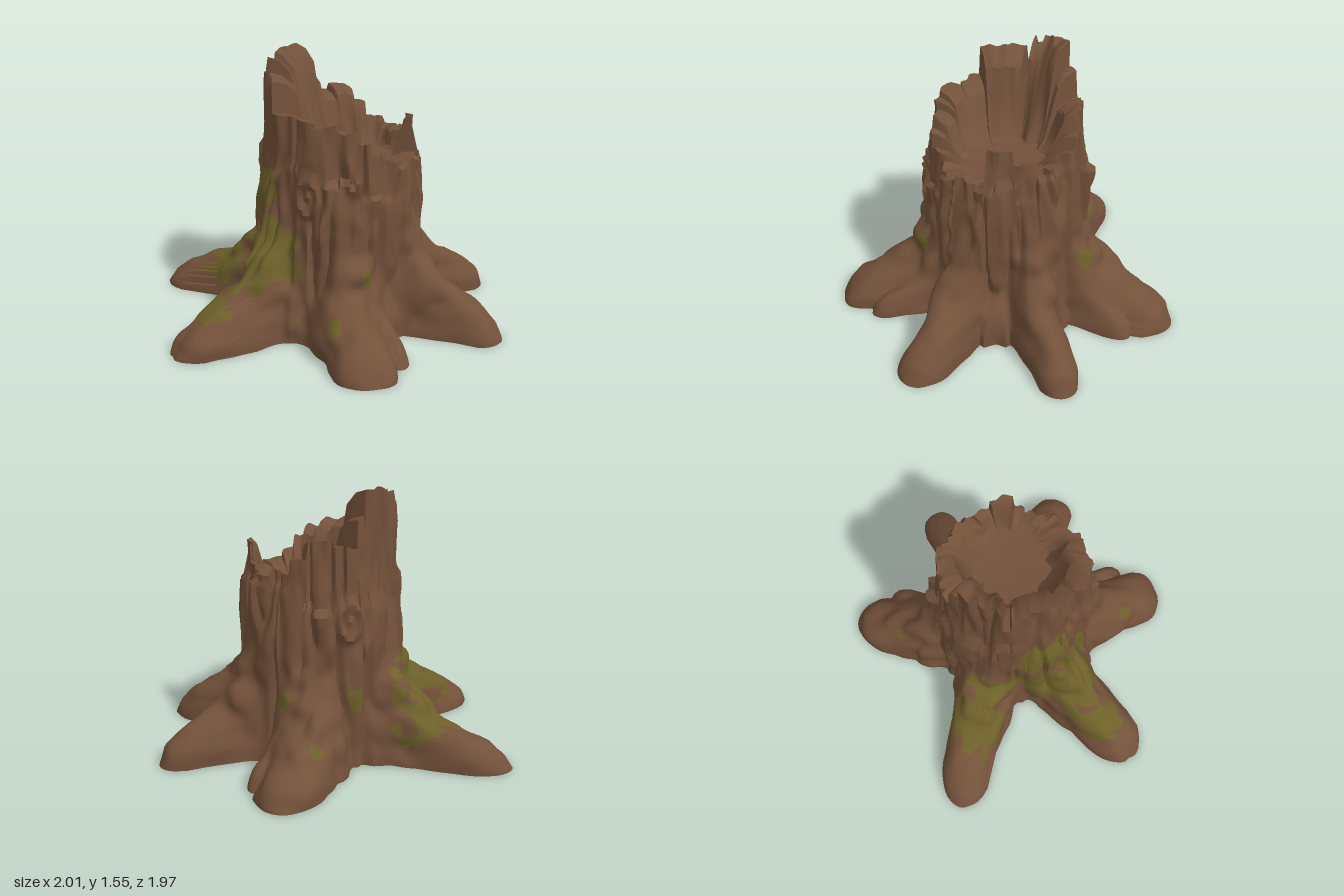
import * as THREE from 'three';
import { toCreasedNormals } from 'three/addons/utils/BufferGeometryUtils.js';

const COLS = 300, LOW = 38, HIGH = 15, CX = 0.08, RAD = Math.PI / 180;
const { lerp, clamp, smoothstep } = THREE.MathUtils;

// Seeded value noise, 0..1
const hash = (x, y, z) => {
  const s = Math.sin(x * 127.1 + y * 311.7 + z * 74.7) * 43758.5453;
  return s - Math.floor(s);
};
function noise(x, y, z) {
  const i = Math.floor(x), j = Math.floor(y), k = Math.floor(z);
  const ease = (t) => t * t * (3 - 2 * t);
  const u = ease(x - i), v = ease(y - j), w = ease(z - k);
  const h = (a, b, d) => hash(i + a, j + b, k + d);
  const face = (d) => lerp(lerp(h(0, 0, d), h(1, 0, d), u), lerp(h(0, 1, d), h(1, 1, d), u), v);
  return lerp(face(0), face(1), w);
}
// Straight-line lookup in a list of [position, value]
function profile(list, t) {
  for (let i = 1; i < list.length; i++) {
    const [a, va] = list[i - 1], [b, vb] = list[i];
    if (t <= b) return lerp(va, vb, clamp((t - a) / (b - a), 0, 1));
  }
  return list[list.length - 1][1];
}

// Broken rim: [start angle, height] of each splinter, angle 90 is the front
const SPLINTERS = [[-12, 1.2], [8, 1.0], [38, 1.02], [55, 1.06], [66, 1.14], [78, 1.2], [92, 1.24],
  [108, 1.27], [128, 1.28], [150, 1.45], [188, 1.33], [194, 1.5], [203, 1.54], [232, 1.4],
  [241, 1.25], [260, 1.29], [279, 1.2], [292, 1.12], [310, 1.08], [333, 1.11]];
function rimHeight(deg) {
  const a = deg >= 348 ? deg - 360 : deg;
  let h = 1.2;
  for (const [start, value] of SPLINTERS) if (a >= start) h = value;
  return h + 0.03 * (noise(a * 0.14, 3, 1) - 0.5);
}

// Roots: direction, length, half width, height scale, sideways bend
const ROOTS = [[79, 1.0, 0.17, 1, -0.035], [65, 0.83, 0.075, 0.7, 0], [24, 1.0, 0.14, 1.05, 0],
  [-26, 1.0, 0.125, 1.05, 0], [-79, 1.0, 0.17, 1, 0.035], [-65, 0.83, 0.075, 0.7, 0],
  [202.7, 1.17, 0.15, 0.87, -0.045], [143.8, 1.11, 0.165, 0.95, 0]];
const ROOT_HEIGHT = [[0, 1.2], [0.3, 0.85], [0.45, 0.57], [0.6, 0.35], [0.75, 0.235], [0.88, 0.165], [0.95, 0.1], [1, 0]];
const TRUNK = [[0, 0.49], [0.2, 0.47], [0.5, 0.455], [0.8, 0.44], [1.1, 0.415], [1.6, 0.405]];

function rootRadius([dir, len, width, high, bend], angle, y) {
  const d = angle - dir * RAD, cd = Math.cos(d), sd = Math.sin(d);
  if (cd < 0.4) return 0;
  const inside = (r) => {
    const u = (r * cd) / len;
    if (u >= 1) return false;
    const tip = u > 0.84 ? Math.sqrt(1 - ((u - 0.84) / 0.16) ** 2) : 1;
    const w = width * lerp(1.25, 1, smoothstep(u, 0.3, 0.8)) * tip;
    const side = (r * sd + bend * Math.sin(u * Math.PI)) / w;
    const q = side * side + (y / (high * profile(ROOT_HEIGHT, u))) ** 2;
    if (q > 1.6 || q < 0.5) return q < 1;
    // gnarled skin: long strands along the root and rounder lumps
    const strand = noise(r * 5 + dir, y * 11, r * sd * 11 + dir);
    const lump = noise(r * Math.cos(angle) * 9, y * 9, r * Math.sin(angle) * 9);
    return q < 1 + 0.4 * (strand - 0.5) + 0.45 * (lump - 0.5);
  };
  for (let r = 1.16; r > 0.3; r -= 0.02) {
    if (!inside(r)) continue;
    let lo = r, hi = r + 0.02;
    for (let k = 0; k < 5; k++) {
      const m = (lo + hi) / 2;
      if (inside(m)) lo = m; else hi = m;
    }
    return lo;
  }
  return 0;
}

// Outer radius of the whole stump at an angle and height
function barkRadius(angle, y) {
  const c = Math.cos(angle), s = Math.sin(angle), base = profile(TRUNK, y);
  let sum = base ** 12;
  for (const root of ROOTS) {
    const a = angle - root[0] * RAD > Math.PI ? angle - 2 * Math.PI : angle;
    sum += rootRadius(root, a, y) ** 12;
  }
  let r = sum ** (1 / 12);
  const knot = Math.abs(s) > 0.7 ? Math.hypot((CX + c * base + 0.08) / 0.75, (y - 0.85) / 1.2) : 1;
  const clear = smoothstep(knot, 0.09, 0.17);
  // loose bark plates that end in ledges, thickest in the middle of the front and back
  const deg = angle / RAD + 9 * (noise(c * 3, y * 4, s * 3) - 0.5);
  const plate = Math.floor((deg + 360) / 15) % 24;
  const thick = Math.abs(c) < 0.2 ? 0.055 : 0.03 * hash(plate, 9, 5);
  const end = Math.abs(c) < 0.2 ? 0.93 : 0.82 + 0.22 * hash(plate, 4, 2);
  if (y < end) r += thick * smoothstep(y, 0.5, 0.8) * clear;
  // upright ridges, narrow cracks and lumps, fading into the roots
  const fade = (1 - 0.6 * smoothstep(r, 0.55, 0.8)) * lerp(0.3, 1, clear);
  const ridge = Math.abs(2 * noise(c * 4.5 + 20, y * 1.7, s * 4.5 + 20) - 1);
  r += fade * 0.035 * (Math.min(ridge * 4, 1) - 0.85);
  r += fade * (0.045 * (noise(c * 5, y * 3 + 8, s * 5) - 0.5) + 0.025 * (noise(c * 9, y * 7, s * 9) - 0.5));
  // oval knots on the front and back
  return r + 0.035 * Math.exp(-(((knot - 0.075) / 0.025) ** 2)) + 0.03 * Math.exp(-((knot / 0.03) ** 2));
}

// Moss patches: x, y, z, radius
const MOSS = [[-0.3, 0.5, 0.36, 0.18], [-0.2, 0.42, 0.43, 0.08], [-0.48, 0.38, 0.33, 0.18], [-0.64, 0.2, 0.48, 0.14],
  [-0.36, 0.8, 0.15, 0.15], [-0.46, 0.42, 0.08, 0.19], [-0.55, 0.27, -0.3, 0.2], [-0.42, 0.42, -0.2, 0.12],
  [0.27, 0.41, 0.48, 0.055], [0.27, 0.41, -0.48, 0.055], [0.07, 0.22, 0.74, 0.045], [0.07, 0.22, -0.74, 0.045],
  [-0.13, 0.14, 0.5, 0.04], [-0.14, 0.4, -0.46, 0.07]];
function isMoss([x, y, z]) {
  const edge = 0.45 + 1.0 * noise(x * 14, y * 14, z * 14);
  return MOSS.some(([a, b, c, r]) => Math.hypot(x - a, y - b, z - c) < r * edge);
}

// Surface through closed rings, optionally sorted into two material groups
function skin(rings, test, crease) {
  const index = [[], []];
  for (let j = 0; j + 1 < rings.length; j++) {
    for (let i = 0; i < COLS; i++) {
      const k = (i + 1) % COLS, a = j * COLS + i, b = j * COLS + k;
      index[test && test(rings[j][i]) ? 1 : 0].push(a, a + COLS, b, b, a + COLS, b + COLS);
    }
  }
  const geometry = new THREE.BufferGeometry();
  geometry.setAttribute('position', new THREE.Float32BufferAttribute(rings.flat(2), 3));
  geometry.setIndex(index.flat());
  if (test) {
    geometry.addGroup(0, index[0].length, 0);
    geometry.addGroup(index[0].length, index[1].length, 1);
  }
  return toCreasedNormals(geometry, crease);
}

export function createModel() {
  const bark = new THREE.MeshStandardMaterial({ color: 0x73513a });
  bark.name = 'brown bark';
  const moss = new THREE.MeshStandardMaterial({ color: 0x6d6029 });
  moss.name = 'green moss';

  const angles = Array.from({ length: COLS }, (_, i) => (i / COLS) * 2 * Math.PI);
  const heights = angles.map((a) => rimHeight(a / RAD));
  const ring = (point) => angles.map((a, i) => {
    const [r, y, shift = 0] = point(a, i);
    return [CX + shift + r * Math.cos(a), y, r * Math.sin(a)];
  });

  // Trunk and roots, level rows below and stretched rows up to the broken rim
  const outer = [];
  for (let j = 0; j <= LOW + HIGH; j++) {
    outer.push(ring((a, i) => {
      const y = j <= LOW ? 0.75 * (j / LOW) ** 1.25 : lerp(0.75, heights[i], (j - LOW) / HIGH);
      return [barkRadius(a, y), y];
    }));
  }

  // Hollow top with thick splinters: fraction of the rim radius, fraction of the height above the floor
  const FLOOR = 0.97;
  const STEPS = [[0.87, 0.96], [0.76, 0.84], [0.68, 0.5], [0.6, 0.18], [0.51, 0.03], [0.35, 0], [0, 0]];
  const inner = [outer[LOW + HIGH], ...STEPS.map(([f, g]) => ring((a, i) => {
    const chip = f > 0.5 ? 0.16 * (noise(Math.cos(a) * 4 + 9, g, Math.sin(a) * 4 + 9) - 0.5) : 0;
    return [0.41 * (f + chip), lerp(FLOOR, heights[i], g), 0.18 * (1 - f)];
  }))];

  // Flat underside
  const under = [ring(() => [0, 0]), outer[0]];

  const model = new THREE.Group();
  model.name = 'treeStump';
  const add = (name, geometry, material) => {
    const mesh = new THREE.Mesh(geometry, material);
    mesh.name = name;
    model.add(mesh);
  };
  add('trunkAndRoots', skin(outer, isMoss, 0.75), [bark, moss]);
  add('hollowTop', skin(inner, null, 0.6), bark);
  add('underside', skin(under, null, 0.5), bark);
  return model;
}
